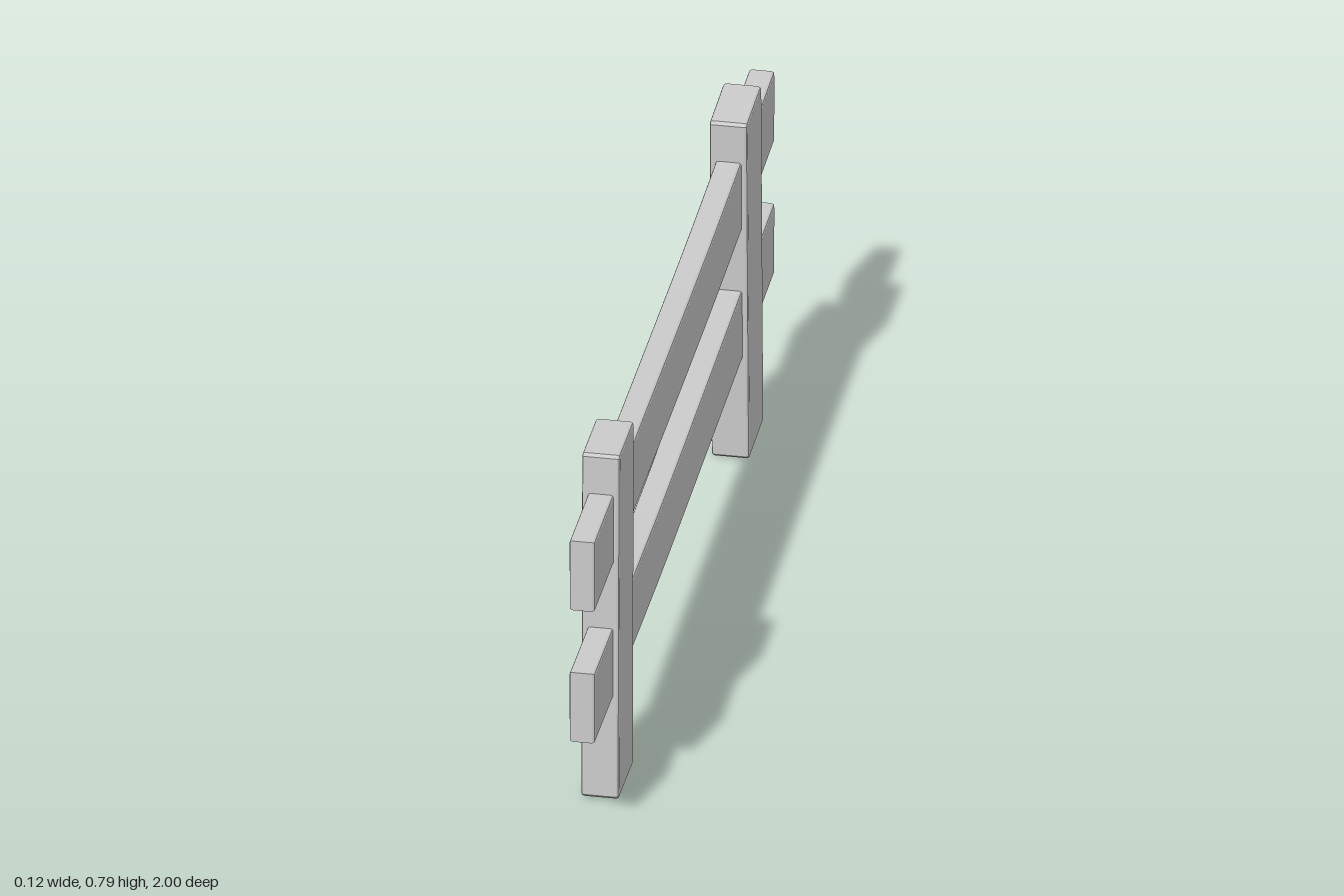
import * as THREE from 'three';

const BEVEL = 0.006;
const material = new THREE.MeshStandardMaterial({ color: 0xcccccc });

// Extrudes a side outline (z, y) across x with softened edges
function plank(name, outline, thickness) {
  const geometry = new THREE.ExtrudeGeometry(new THREE.Shape(outline), {
    depth: thickness - 2 * BEVEL,
    bevelEnabled: true,
    bevelThickness: BEVEL,
    bevelSize: BEVEL,
    bevelOffset: -BEVEL,
    bevelSegments: 2,
  });
  geometry.translate(0, 0, -thickness / 2 + BEVEL);
  geometry.rotateY(-Math.PI / 2);
  const mesh = new THREE.Mesh(geometry, material);
  mesh.name = name;
  return mesh;
}

// Cuts a small chamfer at every corner of a polygon
function chamfer(corners, size) {
  const points = corners.map(([z, y]) => new THREE.Vector2(z, y));
  const n = points.length;
  return points.flatMap((p, i) => [points[(i + n - 1) % n], points[(i + 1) % n]].map((q) =>
    p.clone().add(q.clone().sub(p).setLength(size))));
}

// Rail whose centre line sags between its ends
function rail(name, centreLine) {
  const curve = new THREE.SplineCurve(centreLine.map(([z, y]) => new THREE.Vector2(z, y)));
  const line = curve.getPoints(16);
  const half = 0.08;
  const bottom = line.map((p) => new THREE.Vector2(p.x, p.y - half));
  const top = line.map((p) => new THREE.Vector2(p.x, p.y + half)).reverse();
  return plank(name, [...bottom, ...top], 0.053);
}

export function createModel() {
  const fence = new THREE.Group();
  fence.name = 'fence';

  // Slightly leaning posts
  fence.add(plank('frontPost', chamfer(
    [[0.641, 0], [0.804, 0.004], [0.792, 0.791], [0.632, 0.788]], 0.006), 0.078));
  fence.add(plank('backPost', chamfer(
    [[-0.809, 0.005], [-0.648, 0], [-0.625, 0.786], [-0.787, 0.791]], 0.006), 0.078));

  // Sagging rails passing through both posts
  fence.add(rail('upperRail',
    [[-1, 0.625], [-0.65, 0.616], [-0.3, 0.61], [0.15, 0.613], [0.6, 0.619], [1, 0.624]]));
  fence.add(rail('lowerRail',
    [[-1, 0.32], [-0.6, 0.314], [-0.15, 0.308], [0.25, 0.305], [0.6, 0.311], [1, 0.32]]));

  // The whole fence runs slightly askew
  fence.rotation.y = -0.024;

  const model = new THREE.Group();
  model.name = 'fenceModel';
  model.add(fence);
  return model;
}
